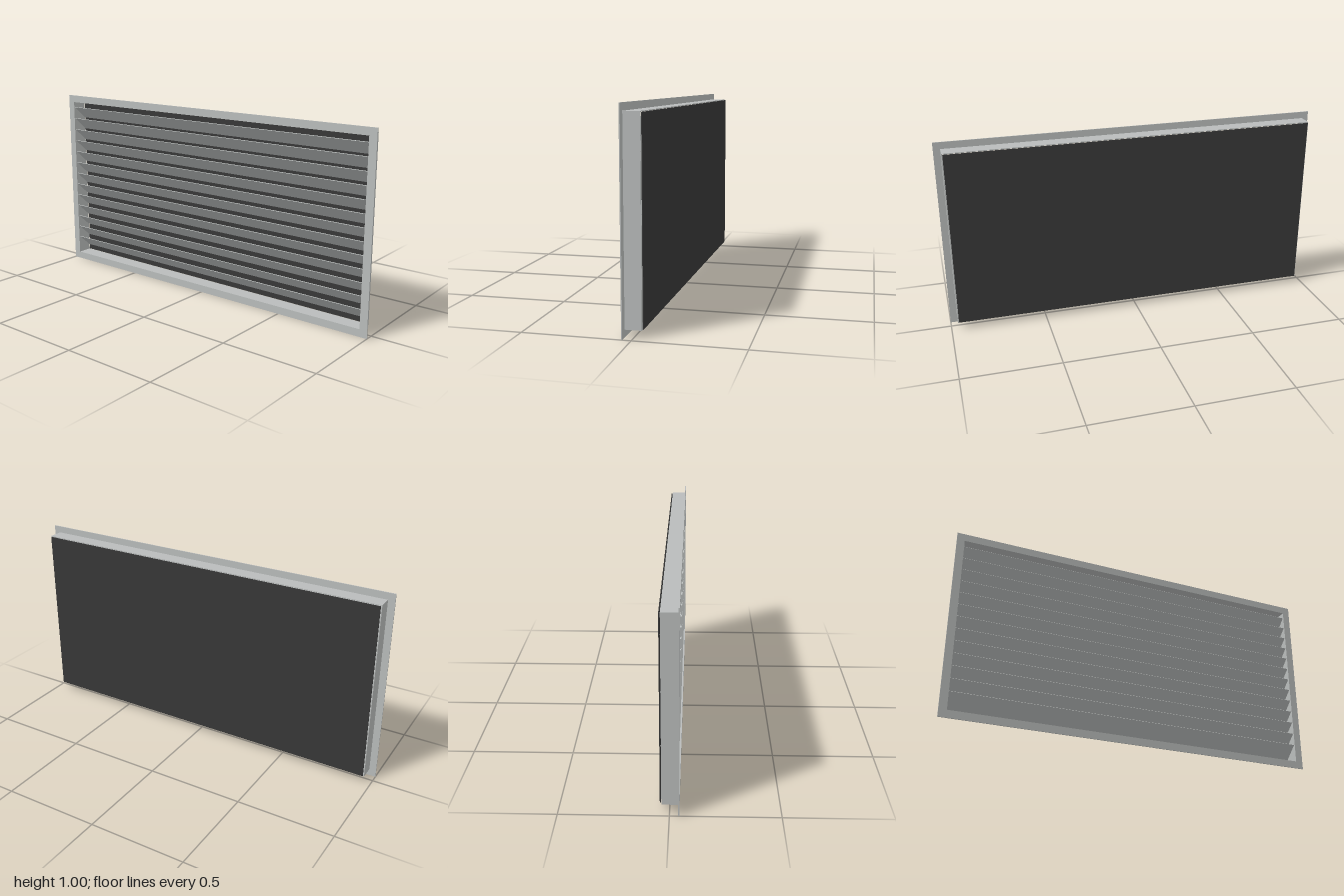
import * as THREE from 'three';

const gray = new THREE.MeshStandardMaterial({ color: 0xb9bcbb });
gray.name = 'satin gray metal';
const black = new THREE.MeshStandardMaterial({ color: 0x383838 });
black.name = 'matte black';

// Closed rectangle centred on the origin, usable as an outline or a hole
function rect(PathType, w, h) {
  const p = new PathType();
  p.moveTo(-w / 2, -h / 2);
  p.lineTo(w / 2, -h / 2);
  p.lineTo(w / 2, h / 2);
  p.lineTo(-w / 2, h / 2);
  p.closePath();
  return p;
}

// Rectangular ring extruded from z0 to z1
function ring(name, w, h, innerW, innerH, z0, z1) {
  const shape = rect(THREE.Shape, w, h);
  shape.holes.push(rect(THREE.Path, innerW, innerH));
  const geo = new THREE.ExtrudeGeometry(shape, { depth: z1 - z0, bevelEnabled: false });
  const mesh = new THREE.Mesh(geo, gray);
  mesh.name = name;
  mesh.position.set(0, 0.5, z0);
  return mesh;
}

export function createModel() {
  const model = new THREE.Group();
  model.name = 'louveredVent';

  // Thin face flange and the sleeve behind it
  model.add(ring('flange', 2, 1, 1.92, 0.922, 0.039, 0.044));
  model.add(ring('sleeve', 1.93, 0.93, 1.92, 0.922, -0.037, 0.039));

  // Back panel, standing just clear of the sleeve
  const panel = new THREE.Mesh(new THREE.BoxGeometry(1.92, 0.922, 0.004), black);
  panel.name = 'backPanel';
  panel.position.set(0, 0.5, -0.042);
  model.add(panel);

  // Slanted blades: front edge high, back edge low
  const blades = new THREE.Group();
  blades.name = 'louvers';
  const count = 13, pitch = 0.0662, drop = 0.067, depth = 0.074;
  const bladeGeo = new THREE.BoxGeometry(1.92, 0.003, Math.hypot(drop, depth));
  for (let i = 0; i < count; i++) {
    const blade = new THREE.Mesh(bladeGeo, gray);
    blade.name = 'louverBlade';
    blade.position.set(0, 0.5 + (i - (count - 1) / 2) * pitch, 0);
    blade.rotation.x = -Math.atan2(drop, depth);
    blades.add(blade);
  }
  model.add(blades);

  return model;
}
